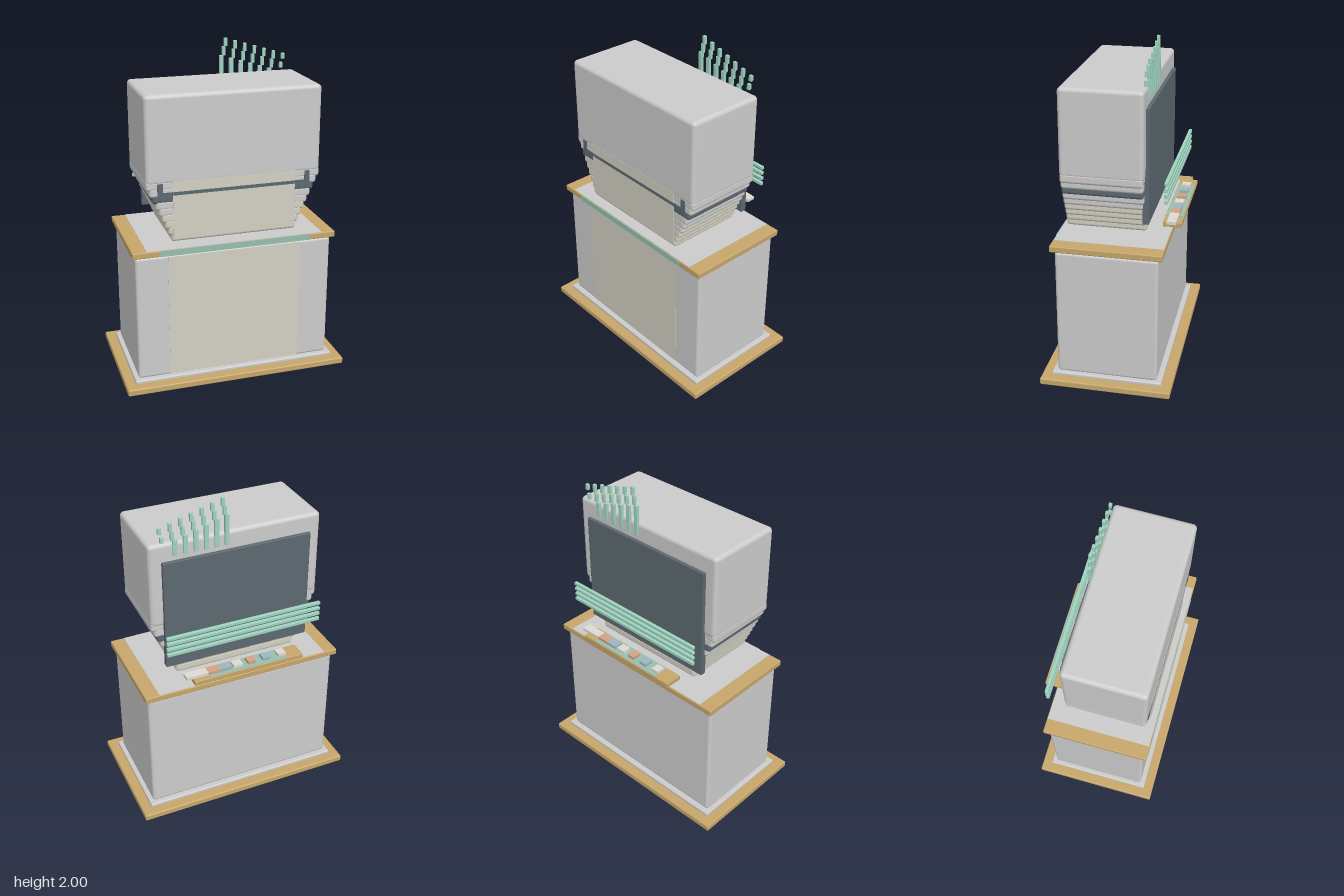
import * as THREE from 'three';
import { RoundedBoxGeometry } from 'three/addons/geometries/RoundedBoxGeometry.js';

const colors = {
  grey: 0xcccccc, gold: 0xc6a66a, cream: 0xd3cfc2, dark: 0x5c6970,
  teal: 0x96bfb0, mint: 0x9fd3bf, blue: 0x9db6bd, salmon: 0xd5a184, white: 0xdcdad2,
};
const materials = {};
for (const [key, color] of Object.entries(colors)) materials[key] = new THREE.MeshStandardMaterial({ color });

export function createModel() {
  const model = new THREE.Group();
  model.name = 'cabinetMachine';

  // Box given by its limits on each axis; r rounds the edges
  function box(name, color, [x0, x1], [y0, y1], [z0, z1], r = 0, parent = model) {
    const size = [x1 - x0, y1 - y0, z1 - z0];
    const geometry = r ? new RoundedBoxGeometry(...size, 3, r) : new THREE.BoxGeometry(...size);
    const mesh = new THREE.Mesh(geometry, materials[color]);
    mesh.position.set((x0 + x1) / 2, (y0 + y1) / 2, (z0 + z1) / 2);
    mesh.name = name;
    parent.add(mesh);
    return mesh;
  }
  function group(name) {
    const g = new THREE.Group();
    g.name = name;
    model.add(g);
    return g;
  }

  // Plinth
  box('underside', 'dark', [-0.63, 0.63], [0, 0.01], [-0.33, 0.33]);
  box('basePlate', 'gold', [-0.69, 0.69], [0.004, 0.045], [-0.39, 0.39], 0.008);
  box('plinthStep', 'grey', [-0.63, 0.63], [0.04, 0.065], [-0.33, 0.33], 0.008);

  // Lower cabinet with its front panel
  box('cabinet', 'grey', [-0.605, 0.605], [0.06, 0.845], [-0.3, 0.3], 0.018);
  box('cabinetFrontPanel', 'cream', [-0.41, 0.41], [0.07, 0.835], [0.29, 0.302]);

  // Countertop
  box('countertop', 'gold', [-0.625, 0.625], [0.852, 0.89], [-0.325, 0.325], 0.006);
  box('countertopInlay', 'grey', [-0.54, 0.54], [0.87, 0.892], [-0.32, 0.32]);
  box('countertopFrontTrim', 'teal', [-0.46, 0.46], [0.853, 0.889], [0.31, 0.327]);

  // Upper housing
  box('housing', 'grey', [-0.525, 0.525], [1.27, 1.79], [-0.197, 0.285], 0.025);

  // Narrowing neck of stacked slabs
  const neck = group('neck');
  const slabs = 9;
  for (let i = 0; i < slabs; i++) {
    const half = 0.382 + (0.143 * i) / (slabs - 1);
    const y = 0.92 + i * 0.0395;
    const color = i === 6 ? 'dark' : i < 4 ? 'cream' : 'grey';
    box('neckSlab', color, [-half, half], [y, y + 0.06], [-0.192, 0.283], 0.018, neck);
  }

  // Front panel of the neck with a dark band and end blocks
  box('neckFrontPanel', 'cream', [-0.37, 0.37], [0.945, 1.29], [0.27, 0.286]);
  box('neckBand', 'dark', [-0.45, 0.45], [1.205, 1.225], [0.27, 0.287]);
  for (const s of [-1, 1]) {
    const x = s * 0.445;
    box('bandEnd', 'dark', [x - 0.016, x + 0.016], [1.18, 1.28], [0.27, 0.287]);
  }

  // Rear panel
  box('rearPanel', 'dark', [-0.455, 0.452], [0.995, 1.68], [-0.217, -0.18], 0.004);

  // Four rails behind the rear panel
  const rails = group('rails');
  for (let i = 0; i < 4; i++) {
    const y = 1.153 + i * 0.0357;
    box('rail', 'mint', [-0.485, 0.482], [y - 0.01, y + 0.01], [-0.327, -0.307], 0.003, rails);
  }

  // Tray with a row of small pieces
  const tray = group('tray');
  box('trayBase', 'gold', [-0.35, 0.345], [0.945, 0.975], [-0.39, -0.28], 0.004, tray);
  box('trayInlay', 'teal', [-0.25, 0.25], [0.96, 0.977], [-0.385, -0.285], 0, tray);
  const pieces = [
    [-0.25, -0.2, 'white'], [-0.152, -0.1, 'blue'], [-0.053, -0.005, 'salmon'],
    [0.03, 0.088, 'white'], [0.1, 0.175, 'blue'], [0.175, 0.25, 'salmon'], [0.25, 0.385, 'white'],
  ];
  for (const [x0, x1, color] of pieces) {
    box('trayPiece', color, [x0, x1], [0.977, 0.995], [-0.362, -0.308], 0, tray);
  }

  // Leaning stepped prongs at the top rear, shrinking sideways
  const prongs = group('prongs');
  for (let i = 0; i < 7; i++) {
    const top = 2 - i * 0.0185;
    const right = 0.098 + i * 0.0615;
    const steps = i === 6 ? 2 : 3;
    const heights = i === 6 ? [0.035, 0.035] : [0.05, 0.055, top - 0.105 - 1.71];
    let y = top;
    for (let k = 0; k < steps; k++) {
      const x = right - k * 0.011;
      const width = k === 2 ? 0.026 : 0.02;
      box('prongStep', 'mint', [x - width, x], [y - heights[k], y], [-0.206, -0.188], 0.002, prongs);
      y -= heights[k] + (i === 6 ? 0.02 : 0);
    }
  }

  return model;
}
